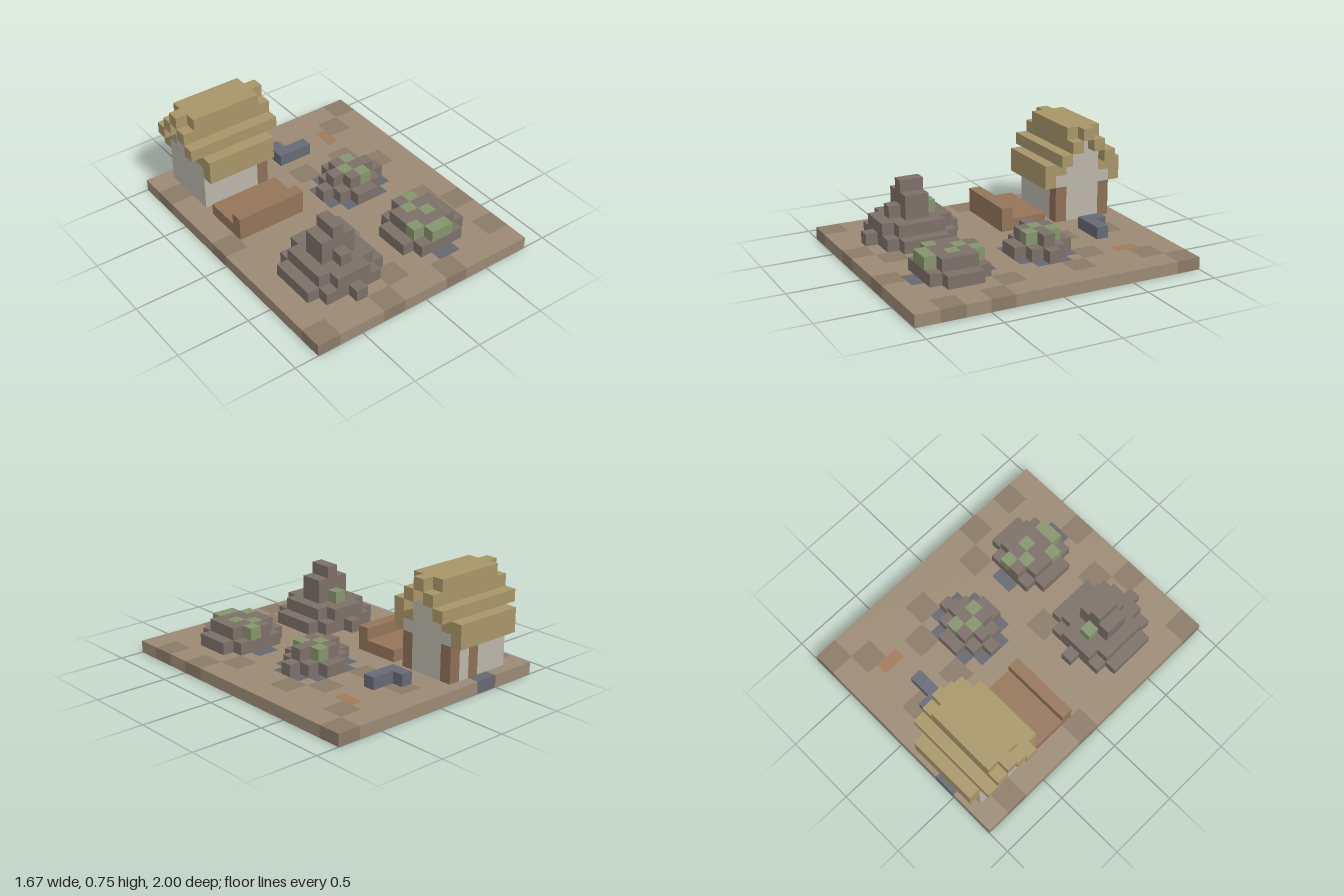
import * as THREE from 'three';

const U = 1 / 12; // edge of one cube

const COLORS = {
  ground: 0x9b8a74, darkGround: 0x8b7a67, pathStone: 0x666870, clayPatch: 0xa07a5a,
  rubble: 0x7c7068, moss: 0x84956c, slateBlock: 0x666a75, bench: 0x95755a,
  wall: 0xbab6aa, timber: 0x8d6f56, thatch: 0xa89668,
};

// One mesh per part, showing only the cube faces that touch empty space
function partMesh(name, cells, all) {
  const pos = [], nor = [];
  for (const c of cells) {
    for (let d = 0; d < 3; d++) for (const s of [1, -1]) {
      const n = [0, 0, 0];
      n[d] = s;
      const next = c.map((v, i) => v + n[i]);
      if (all.has(next.join()) || next[1] < 0) continue; // underside stays open
      const u = (d + 1) % 3, v = (d + 2) % 3;
      const corner = (a, b) => {
        const p = [...c];
        if (s > 0) p[d] += 1;
        p[u] += a;
        p[v] += b;
        return p.map(q => q * U);
      };
      const q = [corner(0, 0), corner(1, 0), corner(1, 1), corner(0, 1)];
      if (s < 0) q.reverse();
      for (const i of [0, 1, 2, 0, 2, 3]) {
        pos.push(...q[i]);
        nor.push(...n);
      }
    }
  }
  const g = new THREE.BufferGeometry();
  g.setAttribute('position', new THREE.Float32BufferAttribute(pos, 3));
  g.setAttribute('normal', new THREE.Float32BufferAttribute(nor, 3));
  const mesh = new THREE.Mesh(g, new THREE.MeshStandardMaterial({ color: COLORS[name], side: THREE.DoubleSide }));
  mesh.name = name;
  return mesh;
}

export function createModel() {
  const cubes = new Map();
  // Fill a block of cubes; later blocks replace earlier ones
  const fill = (part, x0, x1, y0, y1, z0, z1) => {
    for (let x = x0; x < x1; x++) for (let y = y0; y < y1; y++) for (let z = z0; z < z1; z++)
      cubes.set([x, y, z].join(), { part, c: [x, y, z] });
  };

  // Ground slab with darker patches and flat stones
  fill('ground', -10, 10, 0, 1, -12, 12);
  for (const [x, z] of [[8, -12], [6, -10], [0, -10], [4, -6], [6, -4], [-10, -10], [-10, -2], [8, 4],
    [6, 2], [-2, 2], [-10, 10], [-4, 10], [2, 10], [8, 8], [-2, 8], [0, -6]])
    fill('darkGround', x, x + 2, 0, 1, z, z + 2);
  fill('pathStone', 0, 6, 0, 1, -3, 0);
  fill('pathStone', 1, 5, 0, 1, -4, 1);
  fill('pathStone', 3, 5, 0, 1, 3, 10);
  fill('pathStone', -6, -4, 0, 1, -12, -11);
  fill('clayPatch', 5, 6, 0, 1, -9, -7);

  // House walls: hollow ring with stepped gables
  for (const x of [-8, -3]) {
    fill('wall', x, x + 1, 1, 5, -11, -6);
    fill('wall', x, x + 1, 5, 7, -10, -7);
    fill('wall', x, x + 1, 7, 8, -9, -8);
  }
  for (const z of [-11, -7]) {
    fill('wall', -8, -2, 1, 5, z, z + 1);
    fill('timber', -3, -2, 1, 4, z, z + 1);
  }
  fill('timber', -5, -4, 1, 4, -11, -10); // door

  // Thatched roof: mirrored steps up to the ridge
  for (const [eave, mid, high] of [[-6, -7, -8], [-12, -11, -10]]) {
    fill('thatch', -8, -2, 4, 6, eave, eave + 1);
    fill('thatch', -8, -2, 5, 6, mid, mid + 1);
    fill('thatch', -9, -1, 6, 7, mid, mid + 1);
    fill('thatch', -9, -1, 7, 8, high, high + 1);
  }
  fill('thatch', -8, -2, 8, 9, -10, -7);
  fill('thatch', -9, -1, 8, 9, -9, -8);

  // Bench in front of the house
  fill('bench', -8, -2, 1, 2, -5, -1);
  fill('bench', -8, -2, 2, 3, -2, -1);

  // Bent slate block
  fill('slateBlock', 0, 1, 1, 2, -9, -7);
  fill('slateBlock', 0, 3, 1, 2, -8, -7);

  // Tall rubble heap
  for (const [x0, x1, y0, y1, z0, z1] of [
    [-8, -1, 1, 2, 4, 8], [-7, -2, 1, 2, 3, 9], [-5, -4, 1, 2, 2, 10],
    [-7, -2, 2, 3, 4, 8], [-6, -3, 2, 3, 3, 9],
    [-6, -3, 3, 5, 5, 7], [-5, -4, 3, 4, 4, 8], [-5, -4, 5, 6, 5, 7],
  ]) fill('rubble', x0, x1, y0, y1, z0, z1);

  // Two low rubble heaps
  for (const [x0, x1, y0, y1, z0, z1] of [
    [0, 6, 1, 2, -2, -1], [1, 5, 1, 2, -3, 0], [2, 4, 1, 2, -4, 1],
    [2, 4, 2, 3, -3, 0], [1, 5, 2, 3, -2, -1],
    [1, 7, 1, 2, 5, 8], [2, 6, 1, 2, 4, 9],
    [2, 6, 2, 3, 5, 8], [3, 5, 2, 3, 4, 9],
  ]) fill('rubble', x0, x1, y0, y1, z0, z1);

  // Mossy cubes on the heaps
  for (const [x, y, z] of [[-5, 3, 4], [3, 2, -3], [2, 2, -2], [3, 2, -1],
    [4, 2, 4], [3, 2, 5], [4, 2, 6], [2, 2, 7], [3, 2, 8], [4, 2, 8]])
    fill('moss', x, x + 1, y, y + 1, z, z + 1);

  const group = new THREE.Group();
  group.name = 'ruinedHamlet';
  for (const name of Object.keys(COLORS)) {
    const cells = [...cubes.values()].filter(v => v.part === name).map(v => v.c);
    group.add(partMesh(name, cells, cubes));
  }
  return group;
}
